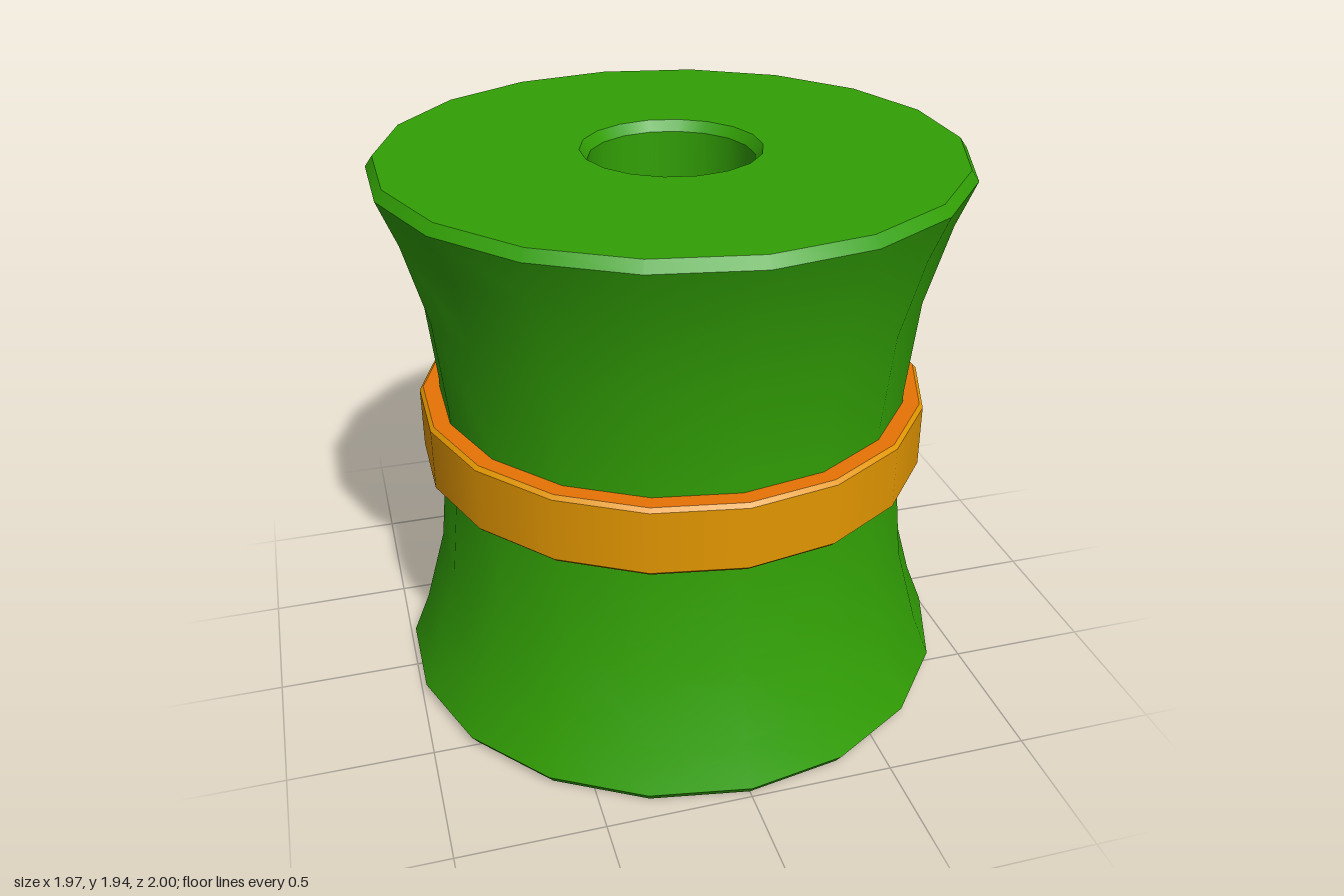
import * as THREE from 'three';
import { mergeGeometries } from 'three/addons/utils/BufferGeometryUtils.js';

const SIDES = 18;
const MID = 0.97; // half the height

// Each profile section is smooth in itself and meets the next at a sharp edge.
function latheMesh(name, material, sections) {
  const mesh = new THREE.Mesh(mergeGeometries(sections.map((points) =>
    new THREE.LatheGeometry(points.map(([r, y]) => new THREE.Vector2(r, y)), SIDES))), material);
  mesh.name = name;
  return mesh;
}

export function createModel() {
  const group = new THREE.Group();
  const green = new THREE.MeshStandardMaterial({ name: 'green', color: 0x32a005 });
  const amber = new THREE.MeshStandardMaterial({ name: 'amber', color: 0xe29600 });
  const orange = new THREE.MeshStandardMaterial({ name: 'orange', color: 0xf07806 });

  // Waisted spool: flared wall, chamfered rims and a through hole
  const top = 2 * MID;
  const lower = [[1, 0.035], [0.938, 0.19], [0.86, 0.47], [0.825, 0.81]];
  const upper = lower.map(([r, y]) => [r, top - y]).reverse();
  group.add(latheMesh('spool', green, [
    [[0.305, 0], [0.975, 0]],
    [[0.975, 0], [1, 0.035]],
    [...lower, ...upper],
    [[1, top - 0.035], [0.975, top]],
    [[0.975, top], [0.305, top]],
    [[0.305, top], [0.28, top - 0.035]],
    [[0.28, top - 0.035], [0.28, 0.035]],
    [[0.28, 0.035], [0.305, 0]],
  ]));

  // Band around the waist: amber wall and chamfers
  const y0 = MID - 0.123, y1 = MID + 0.123, c = 0.013;
  group.add(latheMesh('waistBand', amber, [
    [[0.895 - c, y0], [0.895, y0 + c]],
    [[0.895, y0 + c], [0.895, y1 - c]],
    [[0.895, y1 - c], [0.895 - c, y1]],
  ]));

  // Orange upper and lower faces of the band
  group.add(latheMesh('bandFaces', orange, [
    [[0.815, y0], [0.895 - c, y0]],
    [[0.895 - c, y1], [0.815, y1]],
  ]));

  return group;
}
